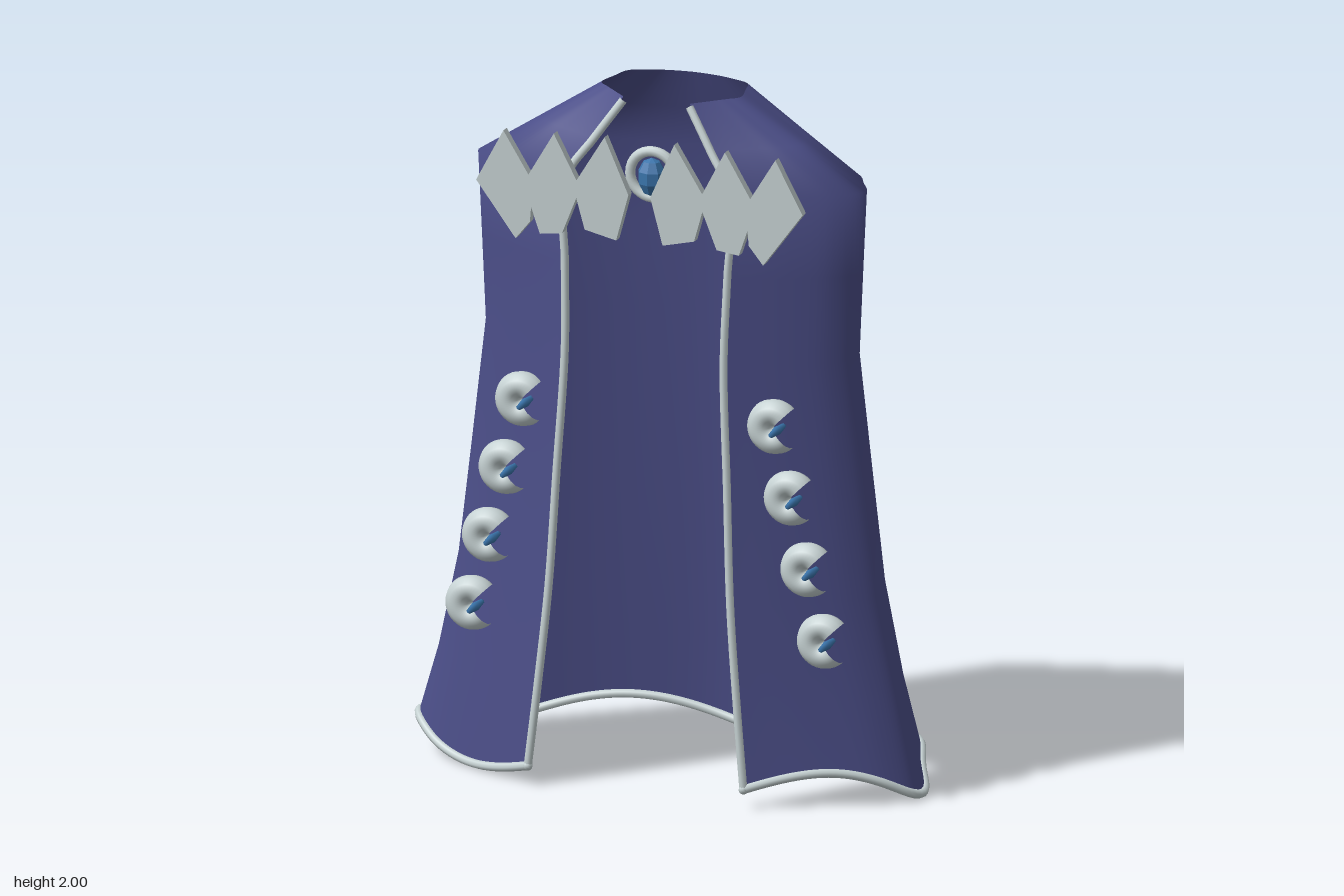
import * as THREE from 'three';

const cloth = new THREE.MeshStandardMaterial({ color: 0x4b4e88, side: THREE.DoubleSide });
cloth.name = 'indigo cloth';
const silver = new THREE.MeshStandardMaterial({ color: 0xc6d2d3 });
silver.name = 'pale silver';
const blue = new THREE.MeshStandardMaterial({ color: 0x3a74ab });
blue.name = 'blue gem';

// Half outlines [x, z] from the middle of the back round to the front opening
const COLLAR = [[0, -.13], [.075, -.122], [.13, -.105], [.18, -.08], [.197, -.02], [.21, .05], [.18, .085], [.15, .115], [.1, .165]];
const SHOULDER = [[0, -.215], [.2, -.202], [.39, -.16], [.5, -.11], [.55, -.03], [.583, .045], [.53, .11], [.42, .165], [.25, .235]];
const HEM = [[0, -.338], [.25, -.305], [.48, -.25], [.645, -.19], [.705, -.08], [.757, .05], [.69, .14], [.53, .23], [.325, .33]];

const mix = (a, b, wx, wz) => a.map(([x, z], i) => [x + (b[i][0] - x) * wx, z + (b[i][1] - z) * wz]);

// Outlines from collar to hem
const LEVELS = [
  [2, COLLAR],
  [1.88, mix(COLLAR, SHOULDER, .5, .5)],
  [1.76, SHOULDER],
  [1.52, mix(SHOULDER, HEM, -.07, .14)],
  [1.27, mix(SHOULDER, HEM, -.14, .29)],
  [.92, mix(SHOULDER, HEM, .09, .49)],
  [.58, mix(SHOULDER, HEM, .32, .69)],
  [.3, mix(SHOULDER, HEM, .66, .86)],
  [.055, HEM],
];
const SEG = 96;

// One smooth row of points from the right front edge round the back to the left
function ringPoints([y, half], last) {
  const right = half.slice(1).reverse().map(([x, z]) => new THREE.Vector3(-x, y, z));
  const left = half.map(([x, z]) => new THREE.Vector3(x, y, z));
  const curve = new THREE.CatmullRomCurve3([...right, ...left], false, 'catmullrom', .5);
  return Array.from({ length: SEG + 1 }, (_, i) => {
    const p = curve.getPoint(i / SEG);
    if (last) p.y -= .042 * Math.sin(4 * Math.PI * (2 * i / SEG - 1)); // wavy hem
    return p;
  });
}

function add(parent, name, geometry, material) {
  const mesh = new THREE.Mesh(geometry, material);
  mesh.name = name;
  parent.add(mesh);
  return mesh;
}

export function createModel() {
  const model = new THREE.Group();
  model.name = 'cloak';

  // Cloth
  const rows = LEVELS.map((l, i) => ringPoints(l, i === LEVELS.length - 1));
  const index = [];
  for (let r = 0; r < rows.length - 1; r++) {
    for (let i = 0; i < SEG; i++) {
      const a = r * (SEG + 1) + i, b = a + SEG + 1;
      index.push(a, a + 1, b, a + 1, b + 1, b);
    }
  }
  const body = new THREE.BufferGeometry().setFromPoints(rows.flat());
  body.setIndex(index);
  body.computeVertexNormals();
  add(model, 'cloakBody', body, cloth);

  // Silver trim along the hem and both front edges
  const hemCurve = new THREE.CatmullRomCurve3(rows[rows.length - 1]);
  add(model, 'hemTrim', new THREE.TubeGeometry(hemCurve, 160, .013, 8), silver);
  for (const [name, i] of [['rightEdgeTrim', 0], ['leftEdgeTrim', SEG]]) {
    const edge = rows.map(row => row[i].clone());
    edge[0].y -= .01;
    add(model, name, new THREE.TubeGeometry(new THREE.CatmullRomCurve3(edge), 64, .012, 8), silver);
    add(model, name + 'End', new THREE.SphereGeometry(.014, 10, 8), silver).position.copy(edge[edge.length - 1]);
  }

  // Pointed collar plates, mirrored
  const plates = [
    [[.105, 1.918], [.2, 1.765], [.165, 1.64], [.07, 1.618], [.033, 1.755]],
    [[.258, 1.912], [.35, 1.757], [.3, 1.613], [.233, 1.622], [.178, 1.76]],
    [[.41, 1.905], [.492, 1.752], [.373, 1.592], [.33, 1.645], [.32, 1.76]],
  ];
  for (const s of [1, -1]) {
    for (const pts of plates) {
      const shape = new THREE.Shape(pts.map(([x, y]) => new THREE.Vector2(s * x, y)));
      const plate = new THREE.ExtrudeGeometry(shape, { depth: .027, bevelEnabled: false });
      add(model, s > 0 ? 'leftCollarPlate' : 'rightCollarPlate', plate, silver).position.z = .274;
    }
  }

  // Clasp with a gem
  add(model, 'claspRing', new THREE.TorusGeometry(.068, .015, 10, 32), silver).position.set(0, 1.79, .195);
  const gem = add(model, 'claspGem', new THREE.SphereGeometry(.042, 8, 5).toNonIndexed(), blue);
  gem.geometry.computeVertexNormals();
  gem.scale.set(1, 1.35, .9);
  gem.position.set(0, 1.785, .203);

  // Crescent buttons with pointed gems, four on each side
  const crescent = new THREE.TorusGeometry(.042, .038, 12, 28, Math.PI * 1.5).rotateZ(Math.PI / 4);
  const spike = new THREE.OctahedronGeometry(1, 1).scale(.013, .013, .065);
  for (const s of [1, -1]) {
    for (let i = 0; i < 4; i++) {
      const button = new THREE.Group();
      button.name = s > 0 ? 'leftButton' : 'rightButton';
      button.position.set(s * (.38 + .05 * i), 1.1 - .205 * i, .23);
      add(button, 'crescent', crescent, silver);
      add(button, 'buttonGem', spike, blue).position.set(.022, 0, .035);
      model.add(button);
    }
  }
  return model;
}
